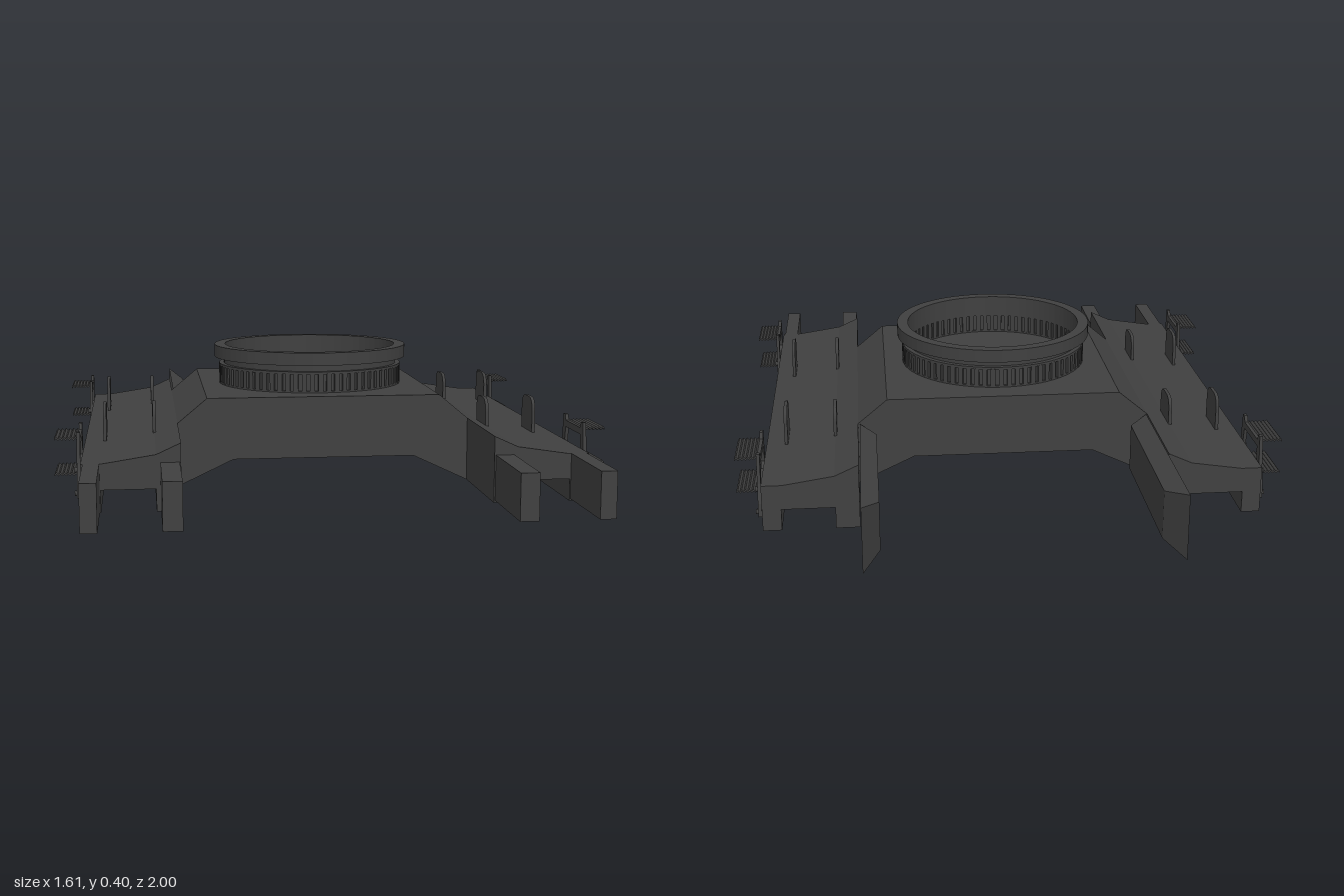
import * as THREE from 'three';

const steel = new THREE.MeshStandardMaterial({ color: 0x404040 });
const sheet = new THREE.MeshStandardMaterial({ color: 0x404040, side: THREE.DoubleSide, flatShading: true });

const shapeOf = (pts) => new THREE.Shape(pts.map(([x, y]) => new THREE.Vector2(x, y)));

// Profile in x/y, extruded along z from z0 to z1
function prism(pts, z0, z1) {
  const g = new THREE.ExtrudeGeometry(shapeOf(pts), { depth: z1 - z0, bevelEnabled: false });
  return g.translate(0, 0, z0);
}

// Profile in z/y, turned into a plate centred on x = 0
function sidePlate(shape, thickness) {
  const g = new THREE.ExtrudeGeometry(shape, { depth: thickness, bevelEnabled: false, curveSegments: 8 });
  return g.translate(0, 0, -thickness / 2).rotateY(Math.PI / 2);
}

// Square-cut ring around the y axis with crisp edges
function ring(inner, outer, y0, y1) {
  const s = new THREE.Shape().absarc(0, 0, outer, 0, Math.PI * 2);
  s.holes.push(new THREE.Path().absarc(0, 0, inner, 0, Math.PI * 2, true));
  const g = new THREE.ExtrudeGeometry(s, { depth: y1 - y0, bevelEnabled: false, curveSegments: 36 });
  return g.rotateX(-Math.PI / 2).translate(0, y0, 0);
}

function add(parent, name, geometry, x = 0, y = 0, z = 0, material = steel) {
  const m = new THREE.Mesh(geometry, material);
  m.name = name;
  m.position.set(x, y, z);
  parent.add(m);
  return m;
}

// Slewing ring: toothed lower ring, neck and top flange
function slewingRing() {
  const g = new THREE.Group();
  g.name = 'slewingRing';
  add(g, 'gearCore', ring(0.286, 0.292, 0.265, 0.335));
  add(g, 'gearRim', ring(0.28, 0.3, 0.265, 0.275));
  add(g, 'neck', ring(0.28, 0.285, 0.33, 0.36));
  add(g, 'gearTop', ring(0.28, 0.3, 0.328, 0.336));
  add(g, 'topFlange', ring(0.28, 0.315, 0.357, 0.397));
  const count = 72;
  const teeth = new THREE.InstancedMesh(new THREE.BoxGeometry(0.02, 0.06, 0.015), steel, count);
  const tooth = teeth.geometry;
  for (let i = 0; i < count; i++) {
    const a = (i / count) * Math.PI * 2;
    const m = add(g, 'gearTooth', tooth, Math.cos(a) * 0.29, 0.3, -Math.sin(a) * 0.29);
    m.rotation.y = a;
  }
  g.position.z = 0.005;
  return g;
}

// Lifting lug with rounded top corners
function lugGeometry(height) {
  const w = 0.06, r = 0.04;
  const s = new THREE.Shape();
  s.moveTo(-w, 0);
  s.lineTo(w, 0);
  s.lineTo(w, height - r);
  s.quadraticCurveTo(w - 0.003, height, w - r, height);
  s.lineTo(-w + r, height);
  s.quadraticCurveTo(-w + 0.003, height, -w, height - r);
  return sidePlate(s, 0.01);
}

// Footstep: bracket with arched foot and window, two serrated treads, bolts
function footstep(side) {
  const g = new THREE.Group();
  g.name = 'footstep';
  const s = new THREE.Shape();
  s.moveTo(-0.125, 0.035);
  s.lineTo(-0.095, 0.035);
  s.quadraticCurveTo(-0.085, 0.075, -0.05, 0.075);
  s.lineTo(0.05, 0.075);
  s.quadraticCurveTo(0.085, 0.075, 0.095, 0.035);
  s.lineTo(0.125, 0.035);
  s.lineTo(0.122, 0.075);
  s.lineTo(0.105, 0.13);
  s.lineTo(0.095, 0.218);
  s.lineTo(0.078, 0.218);
  s.lineTo(0.07, 0.2);
  s.lineTo(-0.07, 0.2);
  s.lineTo(-0.078, 0.218);
  s.lineTo(-0.095, 0.218);
  s.lineTo(-0.105, 0.13);
  s.lineTo(-0.122, 0.075);
  s.holes.push(new THREE.Path([[-0.08, 0.125], [-0.07, 0.18], [0.07, 0.18], [0.08, 0.125], [0.06, 0.108], [-0.06, 0.108]]
    .map(([x, y]) => new THREE.Vector2(x, y))));
  add(g, 'bracket', sidePlate(s, 0.01), side * 0.737);

  // Serrated tread profile
  const top = [], bottom = [];
  for (let i = 0; i <= 12; i++) {
    const x = side * (0.74 + i * 0.0055), y = i % 2 ? 0.004 : -0.002;
    top.push([x, y + 0.003]);
    bottom.unshift([x, y - 0.003]);
  }
  const tread = prism([...top, ...bottom], -0.075, 0.075);
  for (const y of [0.197, 0.095]) add(g, 'tread', tread, 0, y);

  const bolt = new THREE.CylinderGeometry(0.008, 0.008, 0.012, 8).rotateZ(Math.PI / 2);
  for (const k of [-1, 1]) {
    add(g, 'bolt', bolt, side * 0.743, 0.047, k * 0.11);
    add(g, 'bolt', bolt, side * 0.743, 0.112, k * 0.098);
  }
  return g;
}

// Rear guard: open channel whose web bends out to a closed tapered end
function guardGeometry(side) {
  const stations = [[-0.385, 0.445], [-0.4, 0.395], [-0.9, 0.395], [-1, 0.445]];
  const pos = [], idx = [];
  for (const [z, x] of stations) {
    const k = (0.445 - x) / 0.05;
    for (const [px, py] of [[0.445, 0.198], [x, 0.198 - 0.03 * k], [x, 0.003 + 0.02 * k], [0.445, 0.003]])
      pos.push(side * px, py, z);
  }
  for (let i = 0; i < 3; i++)
    for (let j = 0; j < 3; j++) {
      const a = i * 4 + j, b = a + 4;
      idx.push(a, b, a + 1, b, b + 1, a + 1);
    }
  const g = new THREE.BufferGeometry();
  g.setAttribute('position', new THREE.Float32BufferAttribute(pos, 3));
  g.setIndex(idx);
  g.computeVertexNormals();
  return g;
}

export function createModel() {
  const root = new THREE.Group();
  root.name = 'undercarriageFrame';

  // Central bridge between the side beams
  add(root, 'centreBody', prism([
    [-0.45, 0], [-0.28, 0.08], [0.28, 0.08], [0.45, 0],
    [0.45, 0.195], [0.36, 0.27], [-0.36, 0.27], [-0.45, 0.195],
  ], -0.375, 0.385));
  root.add(slewingRing());

  const lugs = [[0.52, 0.155], [0.67, 0.13]].map(([x, y]) => [x, y, lugGeometry(0.25 - y)]);
  for (const side of [-1, 1]) {
    const half = new THREE.Group();
    half.name = side > 0 ? 'leftSide' : 'rightSide';
    root.add(half);

    // Side beam, open channel underneath
    add(half, 'sideBeam', prism([
      [0.45, 0], [0.52, 0], [0.52, 0.065], [0.675, 0.065], [0.675, 0], [0.73, 0],
      [0.73, 0.14], [0.67, 0.14], [0.52, 0.163], [0.45, 0.195],
    ].map(([x, y]) => [x * side, y]), -0.7, 0.73));

    // Twin arms reaching forward
    for (const [x, w] of [[0.481, 0.054], [0.701, 0.046]])
      add(half, 'frontArm', new THREE.BoxGeometry(w, 0.134, 0.28), side * x, 0.073, 0.86);

    add(half, 'rearGuard', guardGeometry(side), 0, 0, 0, sheet);

    for (const [x, y, geo] of lugs)
      for (const z of [0.297, -0.33]) add(half, 'liftingLug', geo, side * x, y, z);

    for (const z of [0.566, -0.556]) {
      const step = footstep(side);
      step.position.z = z;
      half.add(step);
    }
  }
  return root;
}
